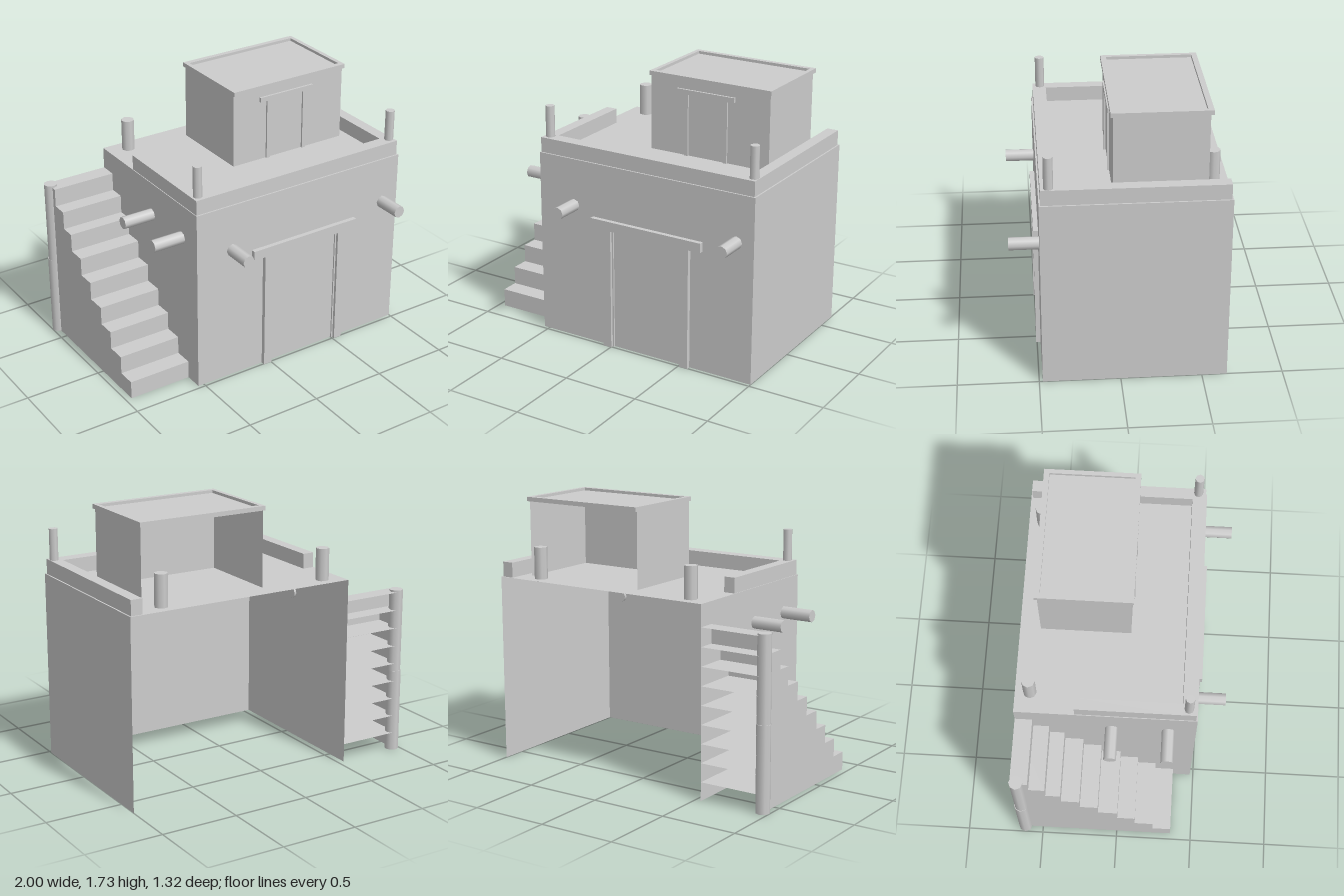
import * as THREE from 'three';

const clay = new THREE.MeshStandardMaterial({ color: 0xcccccc, side: THREE.DoubleSide });
clay.name = 'pale clay';

// Face order of a box: 0 +x, 1 -x, 2 +y, 3 -y, 4 +z, 5 -z
const FACE = { left: 0, right: 1, top: 2, bottom: 3, front: 4, back: 5 };

export function createModel() {
  const model = new THREE.Group();
  model.name = 'adobeHouse';

  // Box given by its extents, with any named faces left open
  function block(name, [x0, x1], [y0, y1], [z0, z1], open = []) {
    const g = new THREE.BoxGeometry(x1 - x0, y1 - y0, z1 - z0);
    const skip = open.map((f) => FACE[f]);
    const all = Array.from(g.index.array);
    g.setIndex(all.filter((_, i) => !skip.includes(Math.floor(i / 6))));
    g.clearGroups();
    g.translate((x0 + x1) / 2, (y0 + y1) / 2, (z0 + z1) / 2);
    const mesh = new THREE.Mesh(g, clay);
    mesh.name = name;
    model.add(mesh);
  }

  // Eight-sided log between two points
  function log(name, radius, from, to) {
    const a = new THREE.Vector3(...from), b = new THREE.Vector3(...to);
    const mesh = new THREE.Mesh(new THREE.CylinderGeometry(radius, radius, a.distanceTo(b), 8), clay);
    mesh.position.copy(a).add(b).multiplyScalar(0.5);
    mesh.quaternion.setFromUnitVectors(new THREE.Vector3(0, 1, 0), b.sub(a).normalize());
    mesh.name = name;
    model.add(mesh);
  }

  // Main storey, open at the back and below
  block('mainWalls', [-0.54, 1.0], [0, 1.215], [-0.655, 0.478], ['back', 'bottom']);

  // Roof parapet on three sides
  block('frontParapet', [-0.535, 0.99], [1.215, 1.312], [0.382, 0.468], ['bottom']);
  block('leftParapet', [0.915, 0.99], [1.215, 1.312], [-0.645, 0.382], ['bottom', 'front']);
  block('rightParapet', [-0.535, -0.46], [1.215, 1.312], [-0.28, 0.382], ['bottom', 'front']);

  // Main doorway: jambs with a stepped inner edge, and lintel
  block('doorJamb', [-0.055, 0.004], [0, 0.8], [0.478, 0.506], ['back']);
  block('doorJamb', [0.51, 0.567], [0, 0.8], [0.478, 0.506], ['back']);
  block('doorReveal', [0.004, 0.014], [0, 0.8], [0.478, 0.488], ['back']);
  block('doorReveal', [0.5, 0.51], [0, 0.8], [0.478, 0.488], ['back']);
  block('doorLintel', [-0.14, 0.652], [0.8, 0.862], [0.478, 0.508]);

  // Upper room, open at the back, with a raised roof rim
  block('upperWalls', [0.015, 0.855], [1.215, 1.71], [-0.525, 0.04], ['back', 'bottom']);
  block('upperRimFront', [0.01, 0.866], [1.7, 1.728], [0.02, 0.054]);
  block('upperRimBack', [0.01, 0.866], [1.7, 1.728], [-0.543, -0.509]);
  for (const x of [0.01, 0.838]) {
    block('upperRimSide', [x, x + 0.028], [1.7, 1.728], [-0.509, 0.02]);
  }
  block('upperJamb', [0.262, 0.288], [1.215, 1.615], [0.04, 0.052], ['back']);
  block('upperJamb', [0.54, 0.566], [1.215, 1.615], [0.04, 0.052], ['back']);
  block('upperLintel', [0.21, 0.615], [1.615, 1.645], [0.04, 0.054]);

  // Outside staircase: stacked shells climbing towards the back
  const risers = [0.36, 0.24, 0.12, 0.005, -0.12, -0.235, -0.352, -0.445, -0.545];
  risers.forEach((z, i) => {
    block('stairStep', [-0.96, -0.54], [i * 0.1195, (i + 1) * 0.1195], [-0.655, z],
      ['back', 'bottom', 'left']);
  });

  // Post at the back of the stairs, in two lengths
  log('stairPostLower', 0.045, [-0.955, 0, -0.619], [-0.955, 0.545, -0.619]);
  log('stairPostUpper', 0.044, [-0.953, 0.545, -0.616], [-0.953, 1.088, -0.616]);

  // Posts standing on the roof
  for (const x of [-0.495, 0.96]) log('thinRoofPost', 0.029, [x, 1.25, 0.42], [x, 1.515, 0.42]);
  for (const x of [-0.405, 0.745]) log('thickRoofPost', 0.042, [x, 1.2, -0.562], [x, 1.42, -0.562]);

  // Beam ends sticking out of the walls
  for (const x of [-0.285, 0.88]) log('frontBeam', 0.04, [x, 0.91, 0.46], [x, 0.91, 0.66]);
  for (const z of [-0.052, 0.303]) log('sideBeam', 0.04, [-0.525, 0.995, z], [-0.75, 0.995, z]);

  return model;
}
